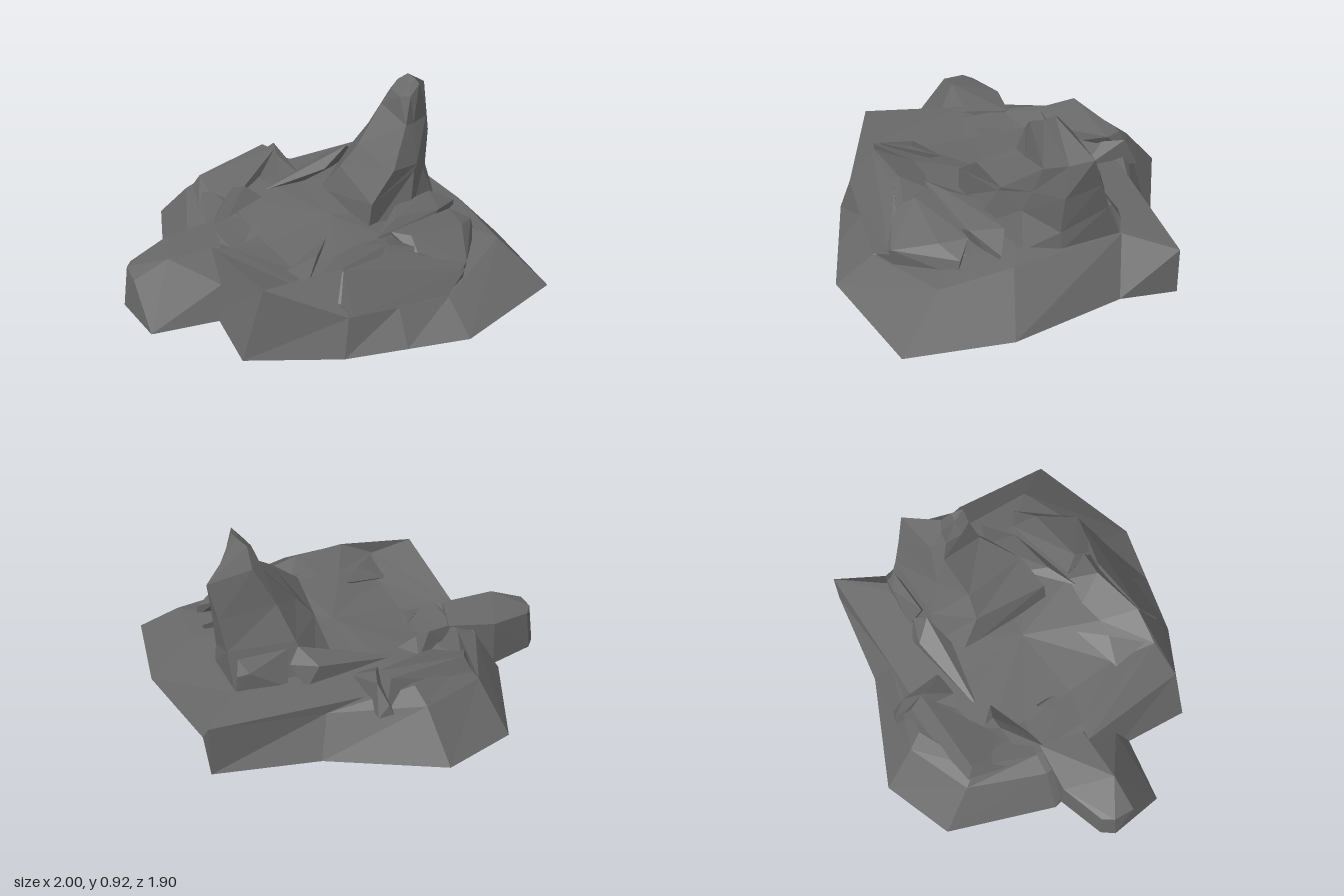
import * as THREE from 'three';
import { ConvexGeometry } from 'three/addons/geometries/ConvexGeometry.js';

const stone = new THREE.MeshStandardMaterial({ color: 0x696969, flatShading: true });
stone.name = 'grey stone';

function addMesh(group, name, geometry) {
  const mesh = new THREE.Mesh(geometry, stone);
  mesh.name = name;
  group.add(mesh);
}

// Skin a stack of rings, lowest first; points run clockwise seen from above
function loft(rings, top, bottom) {
  const out = [];
  const tri = (...pts) => pts.forEach((p) => out.push(...p));
  const n = rings[0].length;
  for (let i = 0; i < n; i++) {
    const j = (i + 1) % n;
    for (let k = 0; k + 1 < rings.length; k++) {
      const a = rings[k], b = rings[k + 1];
      tri(a[j], a[i], b[i]);
      tri(a[j], b[i], b[j]);
    }
    const last = rings[rings.length - 1];
    tri(last[j], last[i], top);
    if (bottom) tri(bottom, rings[0][i], rings[0][j]);
  }
  const g = new THREE.BufferGeometry();
  g.setAttribute('position', new THREE.Float32BufferAttribute(out, 3));
  g.computeVertexNormals();
  return g;
}

const boulder = (points) => new ConvexGeometry(points.map((p) => new THREE.Vector3(...p)));

export function createModel() {
  const group = new THREE.Group();
  group.name = 'rockOutcrop';

  // Broad base: ground outline, upper rim, inner ridge and sunken plateau
  const ground = [
    [-0.71, 0, -0.30], [-0.49, 0, -0.83], [-0.12, 0, -0.95], [0.42, 0, -0.68], [0.93, 0, -0.58],
    [0.89, 0, -0.30], [1, 0, 0.27], [0.93, 0, 0.79], [0.33, 0, 0.95], [0.03, 0, 0.865],
    [-0.27, 0, 0.78], [-0.69, 0, 0.55], [-0.64, 0, 0.15],
  ];
  const rim = [
    [-0.58, 0.22, -0.27], [-0.41, 0.23, -0.64], [-0.08, 0.235, -0.76], [0.36, 0.20, -0.59], [0.93, 0.255, -0.575],
    [0.74, 0.27, -0.36], [0.78, 0.25, 0.20], [0.77, 0.21, 0.56], [0.33, 0.13, 0.76], [0.05, 0.16, 0.745],
    [-0.22, 0.19, 0.73], [-0.57, 0.36, 0.545], [-0.57, 0.27, 0.0],
  ];
  const ridge = [
    [-0.48, 0.26, -0.26], [-0.36, 0.30, -0.55], [-0.05, 0.31, -0.68], [0.17, 0.25, -0.60], [0.70, 0.27, -0.38],
    [0.70, 0.27, -0.20], [0.68, 0.27, 0.15], [0.63, 0.25, 0.38], [0.30, 0.32, 0.58], [0.10, 0.39, 0.55],
    [-0.18, 0.38, 0.60], [-0.36, 0.30, 0.58], [-0.48, 0.26, 0.03],
  ];
  const plateau = [
    [-0.30, 0.25, -0.20], [-0.28, 0.26, -0.42], [-0.05, 0.27, -0.45], [0.10, 0.27, -0.36], [0.30, 0.28, -0.28],
    [0.45, 0.28, -0.10], [0.42, 0.28, 0.12], [0.40, 0.29, 0.28], [0.18, 0.335, 0.42], [0.03, 0.325, 0.40],
    [-0.10, 0.32, 0.42], [-0.30, 0.26, 0.35], [-0.30, 0.245, 0.08],
  ];
  addMesh(group, 'base', loft([ground, rim, ridge, plateau], [0.08, 0.285, 0.05], [0.1, 0, 0]));

  // Tall spire with a spreading foot
  addMesh(group, 'spire', loft([
    [[0.19, 0.25, -0.25], [0.33, 0.25, -0.36], [0.73, 0.25, -0.36], [0.74, 0.25, -0.05], [0.68, 0.25, 0.12], [0.42, 0.25, 0.27], [0.17, 0.25, 0.27]],
    [[0.24, 0.44, -0.12], [0.40, 0.43, -0.29], [0.74, 0.45, -0.285], [0.73, 0.35, -0.05], [0.61, 0.43, 0.10], [0.50, 0.49, 0.18], [0.19, 0.43, 0.27]],
    [[0.33, 0.55, -0.10], [0.46, 0.60, -0.20], [0.76, 0.60, -0.235], [0.745, 0.55, -0.06], [0.64, 0.55, 0.06], [0.52, 0.52, 0.17], [0.34, 0.56, 0.23]],
    [[0.49, 0.74, -0.13], [0.56, 0.79, -0.16], [0.79, 0.77, -0.18], [0.73, 0.72, -0.08], [0.67, 0.69, 0.02], [0.56, 0.70, 0.07], [0.50, 0.71, 0.09]],
    [[0.52, 0.83, -0.09], [0.56, 0.88, -0.09], [0.60, 0.915, -0.06], [0.605, 0.91, 0], [0.59, 0.91, 0.06], [0.54, 0.85, 0.06], [0.515, 0.83, 0]],
  ], [0.57, 0.885, 0]));

  // Low block jutting out on the side
  addMesh(group, 'sideBlock', boulder([
    [-1, 0, -0.13], [-0.98, 0, 0.155], [-0.62, 0, 0.23], [-0.45, 0, -0.1], [-0.70, 0, -0.26], [-0.95, 0, -0.19],
    [-0.98, 0.21, -0.02], [-0.97, 0.22, -0.13], [-0.93, 0.21, -0.18], [-0.80, 0.28, -0.01], [-0.70, 0.24, -0.25],
    [-0.45, 0.27, -0.22], [-0.52, 0.27, 0.0], [-0.60, 0.16, 0.16],
  ]));

  // Undercut boulder on the front slope
  addMesh(group, 'frontBoulder', boulder([
    [0.20, 0.36, 0.43], [0.26, 0.37, 0.52], [0.24, 0.31, 0.63], [0.47, 0.25, 0.70], [0.69, 0.28, 0.43], [0.58, 0.32, 0.50],
    [0.60, 0.33, 0.36], [0.46, 0.14, 0.69], [0.32, 0.13, 0.75], [0.70, 0.20, 0.45], [0.25, 0.15, 0.50],
  ]));

  // Broken slabs and ledges around the plateau
  const ledges = {
    backSlab: [[-0.40, 0.22, -0.63], [-0.44, 0.26, -0.42], [-0.36, 0.33, -0.57], [0.06, 0.36, -0.65],
      [0.09, 0.36, -0.57], [-0.05, 0.27, -0.48], [0.10, 0.22, -0.70], [-0.37, 0.23, -0.30]],
    backRidge: [[0.10, 0.27, -0.73], [0.13, 0.35, -0.65], [0.09, 0.34, -0.54], [0.02, 0.26, -0.40],
      [0.17, 0.25, -0.40], [0.15, 0.20, -0.72], [0.08, 0.22, -0.74]],
    spireLedge: [[-0.11, 0.26, -0.36], [0.17, 0.31, -0.39], [0.33, 0.35, -0.42], [0.46, 0.36, -0.37],
      [0.24, 0.34, -0.28], [0.40, 0.42, -0.32], [0.40, 0.24, -0.43], [0.10, 0.24, -0.35]],
    backShelf: [[0.48, 0.25, -0.39], [0.66, 0.36, -0.37], [0.72, 0.35, -0.36], [0.73, 0.25, -0.36],
      [0.45, 0.42, -0.32], [0.70, 0.42, -0.32], [0.50, 0.25, -0.25]],
    sideLump: [[-0.47, 0.26, -0.20], [-0.28, 0.35, -0.34], [-0.21, 0.34, -0.34], [-0.13, 0.27, -0.30],
      [-0.37, 0.26, -0.22], [-0.40, 0.23, -0.32], [-0.20, 0.24, -0.40]],
    sideChip: [[-0.40, 0.25, 0.02], [-0.28, 0.28, -0.11], [-0.28, 0.27, 0.0], [-0.25, 0.23, -0.10]],
    plateauChip: [[-0.34, 0.27, 0.35], [-0.08, 0.33, 0.28], [-0.20, 0.34, 0.40], [-0.33, 0.31, 0.54], [-0.22, 0.23, 0.40]],
    footLedge: [[0.12, 0.35, 0.43], [0.28, 0.38, 0.36], [0.55, 0.33, 0.34], [0.72, 0.28, 0.24],
      [0.60, 0.34, 0.18], [0.35, 0.36, 0.24], [0.35, 0.25, 0.42], [0.70, 0.22, 0.25]],
    frontLip: [[-0.33, 0.27, 0.60], [-0.18, 0.37, 0.61], [0.15, 0.37, 0.59], [0.30, 0.30, 0.62],
      [0.46, 0.22, 0.71], [-0.24, 0.25, 0.69], [0.33, 0.14, 0.76], [-0.20, 0.19, 0.735], [0, 0.25, 0.55]],
  };
  for (const [name, points] of Object.entries(ledges)) addMesh(group, name, boulder(points));

  return group;
}
